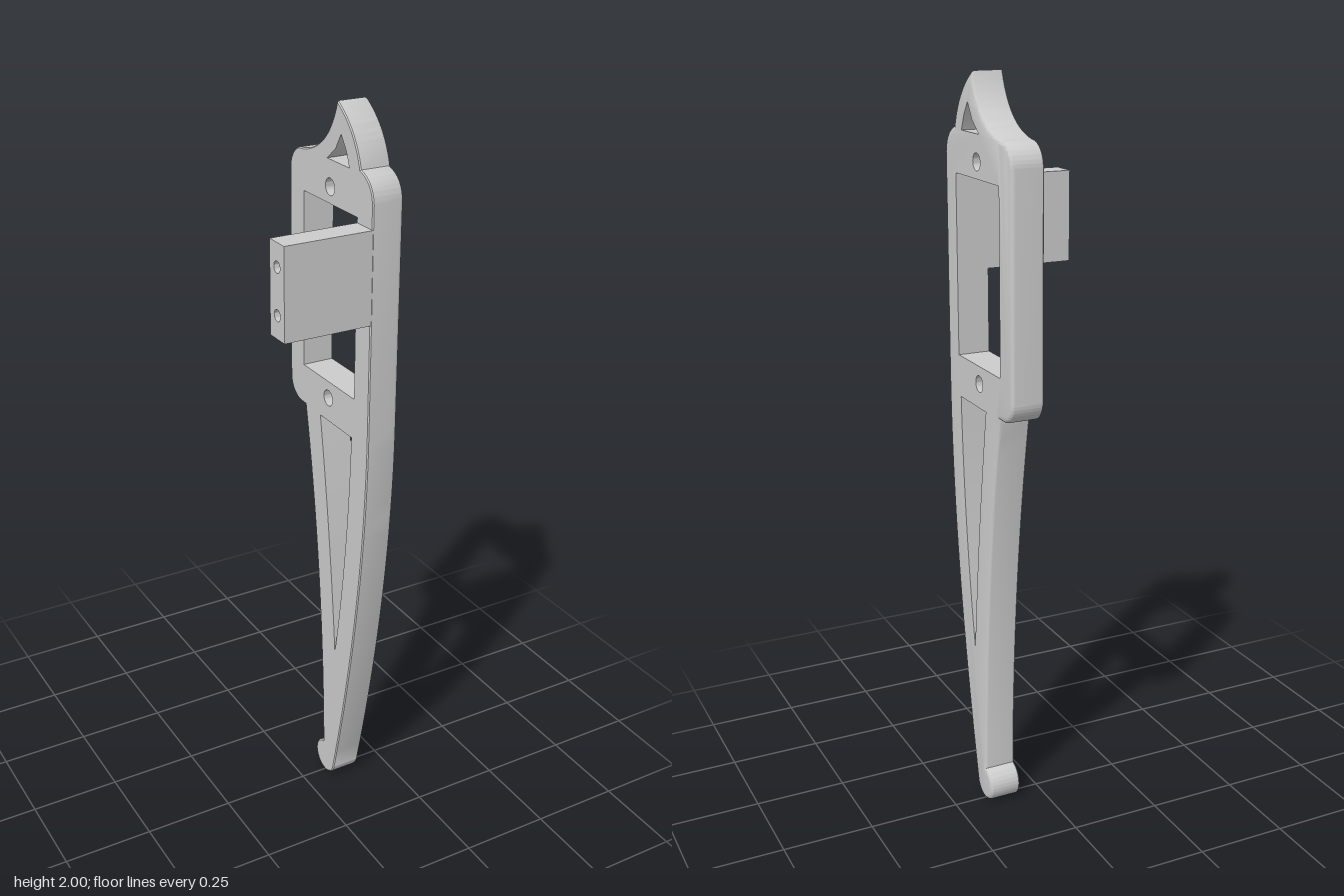
import * as THREE from 'three';
import { toCreasedNormals } from 'three/addons/utils/BufferGeometryUtils.js';

const PI = Math.PI;

// Profiles are drawn in (u, y) with u = -z, extruded, then turned so depth runs along +x.
function circleHole(u, y, r) {
  return new THREE.Path().absarc(u, y, r, 0, PI * 2, true);
}

function polyHole(points) {
  return new THREE.Path(points.map(([u, y]) => new THREE.Vector2(u, y)));
}

// Outer contour of the arm: pointed crest, rounded body, curved leg, ball foot
function armOutline() {
  const s = new THREE.Shape();
  s.moveTo(-0.03, 2);
  s.quadraticCurveTo(-0.115, 1.95, -0.14, 1.86);
  s.quadraticCurveTo(-0.195, 1.845, -0.2, 1.79);
  s.lineTo(-0.2, 1.2);
  s.quadraticCurveTo(-0.2, 0.7, -0.049, 0.041);
  s.absarc(0, 0.05, 0.05, PI * 1.06, PI * 2.43, false);
  s.quadraticCurveTo(0.02, 0.65, 0.12, 1.155);
  s.lineTo(0.14, 1.155);
  s.absarc(0.14, 1.215, 0.06, -PI / 2, 0, false);
  s.absarc(0.14, 1.79, 0.06, 0, PI / 2, false);
  s.quadraticCurveTo(0.01, 1.87, -0.03, 2);
  const pts = s.getPoints(20);
  return pts.filter((p, i) => p.distanceTo(pts[(i + 1) % pts.length]) > 1e-4);
}

// Mitred outward offset direction at every contour point
function offsetDirections(pts) {
  const n = pts.length;
  const edgeNormal = (a, b) => new THREE.Vector2(b.y - a.y, a.x - b.x).normalize();
  return pts.map((p, i) => {
    const a = edgeNormal(pts[(i + n - 1) % n], p);
    const b = edgeNormal(p, pts[(i + 1) % n]);
    const m = a.clone().add(b).normalize();
    return m.divideScalar(Math.max(0.6, m.dot(a)));
  });
}

function armGeometry() {
  const pts = armOutline();
  const dirs = offsetDirections(pts);
  const shape = new THREE.Shape(pts);

  // Crest opening, window, screw holes and leg opening
  const leg = new THREE.Path();
  leg.moveTo(-0.12, 1.155);
  leg.lineTo(0.04, 1.155);
  leg.quadraticCurveTo(-0.02, 0.8, -0.05, 0.45);
  leg.quadraticCurveTo(-0.11, 0.8, -0.12, 1.155);
  shape.holes.push(
    polyHole([[-0.09, 1.853], [0.015, 1.853], [-0.025, 1.885], [-0.05, 1.925], [-0.075, 1.89]]),
    polyHole([[-0.13, 1.267], [0.13, 1.267], [0.13, 1.743], [-0.13, 1.743]]),
    circleHole(0, 1.785, 0.022),
    circleHole(0, 1.22, 0.022),
    leg
  );

  // [depth, inset] levels: tiny edge break behind, larger round on the outer face
  const levels = [[0, 0.003], [0.003, 0]];
  for (let i = 0; i <= 5; i++) {
    const a = (i / 5) * PI / 2, r = 0.012;
    levels.push([0.087 - r + r * Math.sin(a), r * (1 - Math.cos(a))]);
  }
  const steps = levels.length - 1;
  const geo = new THREE.ExtrudeGeometry(shape, { depth: steps, steps, bevelEnabled: false, curveSegments: 16 });
  const pos = geo.attributes.position;
  for (let i = 0; i < pos.count; i++) {
    const [depth, inset] = levels[Math.round(pos.getZ(i))];
    const x = pos.getX(i), y = pos.getY(i);
    const k = pts.findIndex(p => Math.abs(p.x - x) + Math.abs(p.y - y) < 1e-5);
    if (k >= 0) pos.setXY(i, x - dirs[k].x * inset, y - dirs[k].y * inset);
    pos.setZ(i, depth);
  }
  return toCreasedNormals(geo, 0.55);
}

function tabGeometry() {
  const shape = new THREE.Shape([[-0.2, 1.49], [-0.13, 1.49], [-0.13, 1.73], [-0.2, 1.73]]
    .map(([u, y]) => new THREE.Vector2(u, y)));
  for (const y of [1.55, 1.67]) shape.holes.push(circleHole(-0.165, y, 0.015));
  const geo = new THREE.ExtrudeGeometry(shape, { depth: 0.24, bevelEnabled: false, curveSegments: 12 });
  return toCreasedNormals(geo, 0.55);
}

export function createModel() {
  const group = new THREE.Group();
  group.name = 'servoArm';
  const material = new THREE.MeshStandardMaterial({ color: 0xcccccc });
  const add = (name, geo, x) => {
    geo.rotateY(PI / 2);
    geo.translate(x, 0, 0);
    const mesh = new THREE.Mesh(geo, material);
    mesh.name = name;
    group.add(mesh);
  };
  add('armPlate', armGeometry(), 0.075);
  // Mounting tab with two screw holes in its end
  add('mountingTab', tabGeometry(), -0.163);
  return group;
}
